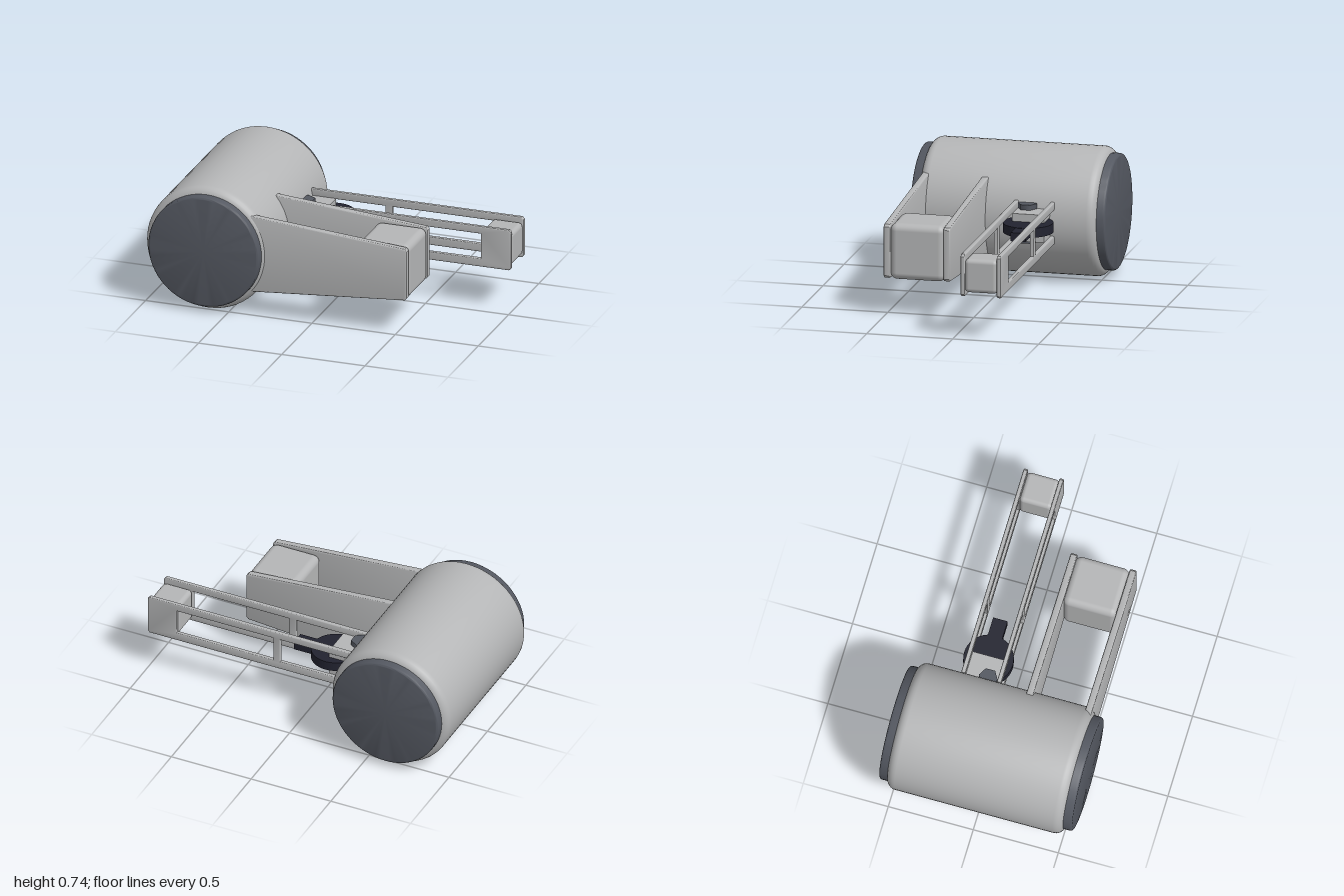
import * as THREE from 'three';
import { toCreasedNormals } from 'three/addons/utils/BufferGeometryUtils.js';
import { RoundedBoxGeometry } from 'three/addons/geometries/RoundedBoxGeometry.js';

const mat = (name, color) => {
  const m = new THREE.MeshStandardMaterial({ color });
  m.name = name;
  return m;
};

export function createModel() {
  const lightGrey = mat('light grey', 0xb5b6b7);
  const slate = mat('slate', 0x545861);
  const black = mat('blue black', 0x222330);
  const root = new THREE.Group();

  const add = (name, geometry, material, x = 0, y = 0, z = 0) => {
    const mesh = new THREE.Mesh(geometry, material);
    mesh.name = name;
    mesh.position.set(x, y, z);
    root.add(mesh);
    return mesh;
  };

  // Drum with rounded rims, lying along z
  const drum = (radius, half, round) => {
    const pts = [new THREE.Vector2(0, -half)];
    for (const end of [-1, 1]) {
      for (let i = 0; i <= 6; i++) {
        const a = (end < 0 ? i / 6 - 1 : i / 6) * Math.PI / 2;
        pts.push(new THREE.Vector2(radius - round + round * Math.cos(a),
          end * (half - round) + round * Math.sin(a)));
      }
    }
    pts.push(new THREE.Vector2(0, half));
    return toCreasedNormals(new THREE.LatheGeometry(pts, 64).rotateX(Math.PI / 2), 0.6);
  };
  add('drumBody', drum(0.37, 0.52, 0.055), lightGrey, -0.63, 0.37, 0);
  add('drumEndCaps', drum(0.333, 0.567, 0.015), slate, -0.63, 0.37, 0);

  // Flat plate in the xy plane, centred on z, with a slight bevel
  const plate = (outline, thickness, holes = []) => {
    const b = 0.007;
    const shape = new THREE.Shape(outline.map(p => new THREE.Vector2(...p)));
    shape.holes = holes.map(h => new THREE.Path(h.map(p => new THREE.Vector2(...p))));
    const g = new THREE.ExtrudeGeometry(shape, {
      depth: thickness - 2 * b, bevelThickness: b, bevelSize: b, bevelOffset: -b, bevelSegments: 3,
    });
    return toCreasedNormals(g.translate(0, 0, b - thickness / 2), 0.7);
  };

  // Wide tapered arm: two side plates and a rounded end block
  const tapered = [[-0.42, 0.14], [-0.34, 0.146], [0.56, 0.218], [0.572, 0.232],
    [0.572, 0.516], [0.56, 0.53], [-0.34, 0.602], [-0.42, 0.608]];
  for (const z of [0.14, 0.488]) add('taperedPlate', plate(tapered, 0.04), lightGrey, 0, 0, z);
  add('taperedArmBlock', new RoundedBoxGeometry(0.302, 0.325, 0.32, 4, 0.04), lightGrey, 0.42, 0.372, 0.313);

  // Slim arm: two slotted plates, open at the drum end, with one upright strut
  const slotted = [[-0.28, 0.25], [0.985, 0.25], [0.998, 0.262], [0.998, 0.482], [0.985, 0.495],
    [-0.28, 0.495], [-0.28, 0.45], [0.165, 0.45], [0.165, 0.3], [-0.28, 0.3]];
  const slot = [[0.21, 0.3], [0.21, 0.45], [0.815, 0.45], [0.815, 0.3]];
  for (const z of [-0.057, -0.267]) add('slottedPlate', plate(slotted, 0.026, [slot]), lightGrey, 0, 0, z);
  add('slottedArmBlock', new RoundedBoxGeometry(0.183, 0.195, 0.19, 4, 0.025), lightGrey, 0.905, 0.37, -0.162);

  // Mechanism at the root of the slim arm
  add('pivotDisc', new THREE.CylinderGeometry(0.143, 0.143, 0.055, 40), black, -0.13, 0.382, -0.162);
  add('pivotTongue', new THREE.BoxGeometry(0.17, 0.05, 0.085), black, 0.03, 0.382, -0.163);
  add('pivotMount', new THREE.BoxGeometry(0.17, 0.16, 0.186), lightGrey, -0.215, 0.375, -0.162);
  add('pivotKnob', new THREE.CylinderGeometry(0.055, 0.055, 0.225, 6), slate, -0.265, 0.373, -0.125);
  return root;
}
